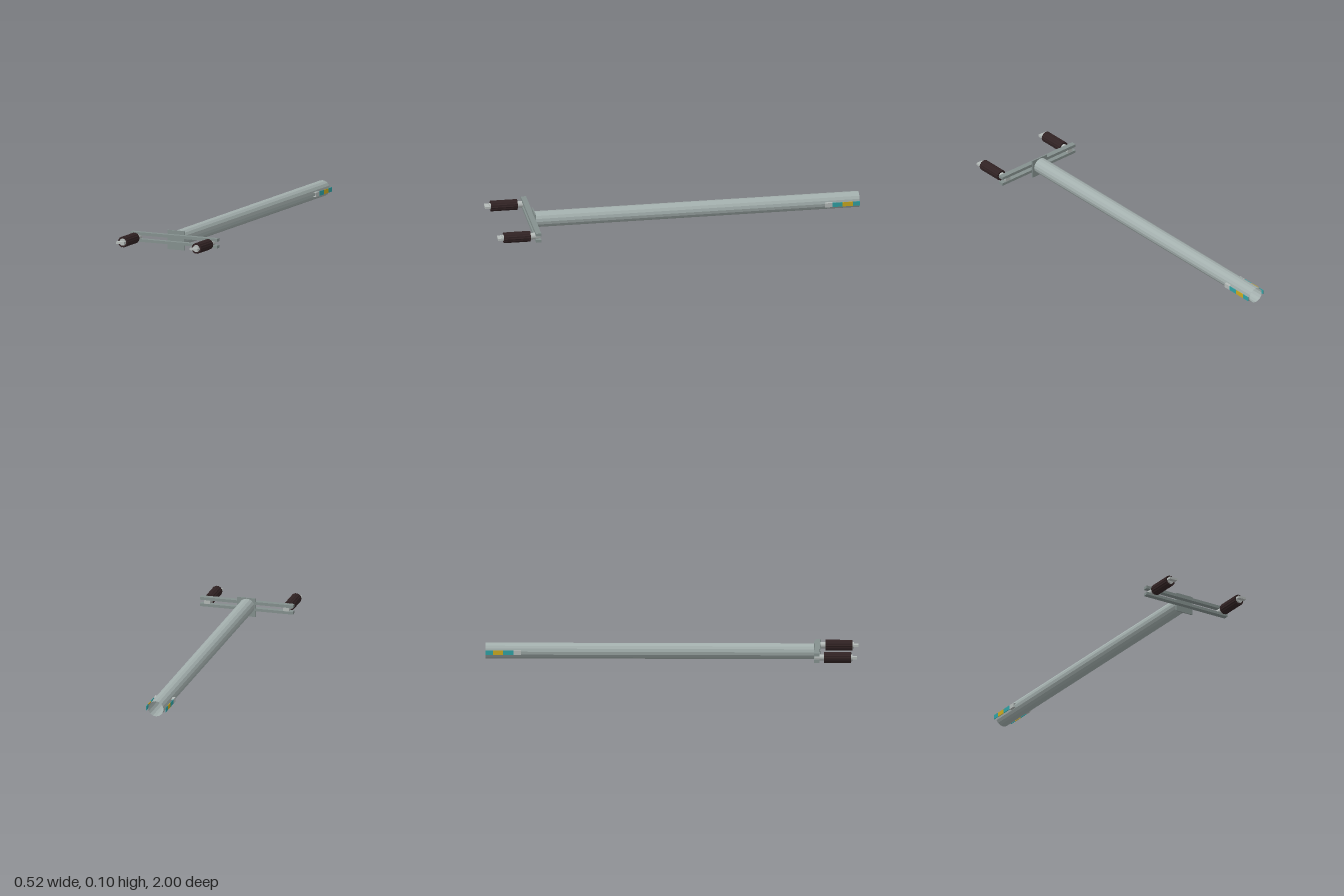
import * as THREE from 'three';

export function createModel() {
  const model = new THREE.Group();
  const mat = (name, color, extra = {}) =>
    Object.assign(new THREE.MeshStandardMaterial({ color, ...extra }), { name });
  const tubeMetal = mat('tube metal', 0xa3afad, { side: THREE.DoubleSide, flatShading: true });
  const frameMetal = mat('frame metal', 0x84908e);
  const rubber = mat('dark rubber', 0x302223, { flatShading: true });
  const paleMetal = mat('pale metal', 0xb4bab8);
  const teal = mat('teal', 0x2fa0a3);
  const yellow = mat('yellow', 0xc9a820);

  const add = (name, geometry, material, x, y, z, parent = model) => {
    const mesh = new THREE.Mesh(geometry, material);
    mesh.name = name;
    mesh.position.set(x, y, z);
    parent.add(mesh);
    return mesh;
  };
  const box = (name, material, [x0, x1], [y0, y1], [z0, z1], parent = model) =>
    add(name, new THREE.BoxGeometry(Math.abs(x1 - x0), y1 - y0, z1 - z0), material,
      (x0 + x1) / 2, (y0 + y1) / 2, (z0 + z1) / 2, parent);
  const rod = (r, z0, z1, sides, open = false) =>
    new THREE.CylinderGeometry(r, r, z1 - z0, sides, 1, open)
      .rotateX(Math.PI / 2).translate(0, 0, (z0 + z1) / 2);

  // Long hollow tube, open at the back
  const cx = -0.004, cy = 0.057;
  add('mainTube', rod(0.043, -1, 0.765, 16, true), tubeMetal, cx, cy, 0);

  // Mounting plate and the two crossbars
  box('mountingPlate', frameMetal, [-0.052, 0.052], [0, 0.105], [0.764, 0.77]);
  box('upperCrossbar', frameMetal, [-0.26, 0.26], [0.068, 0.084], [0.768, 0.797]);
  box('lowerCrossbar', frameMetal, [-0.26, 0.26], [0.032, 0.047], [0.768, 0.797]);

  // Fluted grip with a bore
  const gripShape = new THREE.Shape();
  const teeth = 14;
  for (let i = 0; i < teeth * 2; i++) {
    const a = (i / teeth) * Math.PI, r = i % 2 ? 0.0275 : 0.0295;
    gripShape[i ? 'lineTo' : 'moveTo'](r * Math.cos(a), r * Math.sin(a));
  }
  gripShape.closePath();
  const bore = new THREE.Path();
  bore.absarc(0, 0, 0.0195, 0, Math.PI * 2, true);
  gripShape.holes.push(bore);
  const gripGeometry = new THREE.ExtrudeGeometry(gripShape,
    { depth: 0.145, bevelEnabled: false, curveSegments: 8 });

  for (const side of [-1, 1]) {
    // Handle: spindle, grip and flat end key
    const handle = new THREE.Group();
    handle.name = side > 0 ? 'leftHandle' : 'rightHandle';
    handle.position.set(side * 0.221, 0.056, 0);
    add('spindle', rod(0.0175, 0.77, 0.976, 16), paleMetal, 0, 0, 0, handle);
    add('gripCollar', rod(0.0197, 0.825, 0.966, 16), paleMetal, 0, 0, 0, handle);
    add('grip', gripGeometry, rubber, 0, 0, 0.823, handle);
    box('endKey', paleMetal, [-0.024, 0.024], [-0.006, 0.006], [0.974, 1], handle);
    model.add(handle);

    // Side bracket: hollow foot carrying a thin striped strip
    const bracket = new THREE.Group();
    bracket.name = side > 0 ? 'leftBracket' : 'rightBracket';
    bracket.position.x = cx;
    const span = (a, b) => [side * a, side * b];
    const foot = [-0.85, -0.81];
    box('footTop', paleMetal, span(0.038, 0.056), [0.063, 0.066], foot, bracket);
    box('footBottom', paleMetal, span(0.038, 0.056), [0.042, 0.045], foot, bracket);
    box('footSide', paleMetal, span(0.053, 0.056), [0.042, 0.066], foot, bracket);
    [[-0.905, -0.85, teal], [-0.96, -0.905, yellow], [-1, -0.96, teal]].forEach(([z0, z1, m]) =>
      box('stripeSegment', m, span(0.053, 0.056), [0.042, 0.066], [z0, z1], bracket));
    model.add(bracket);
  }
  return model;
}
